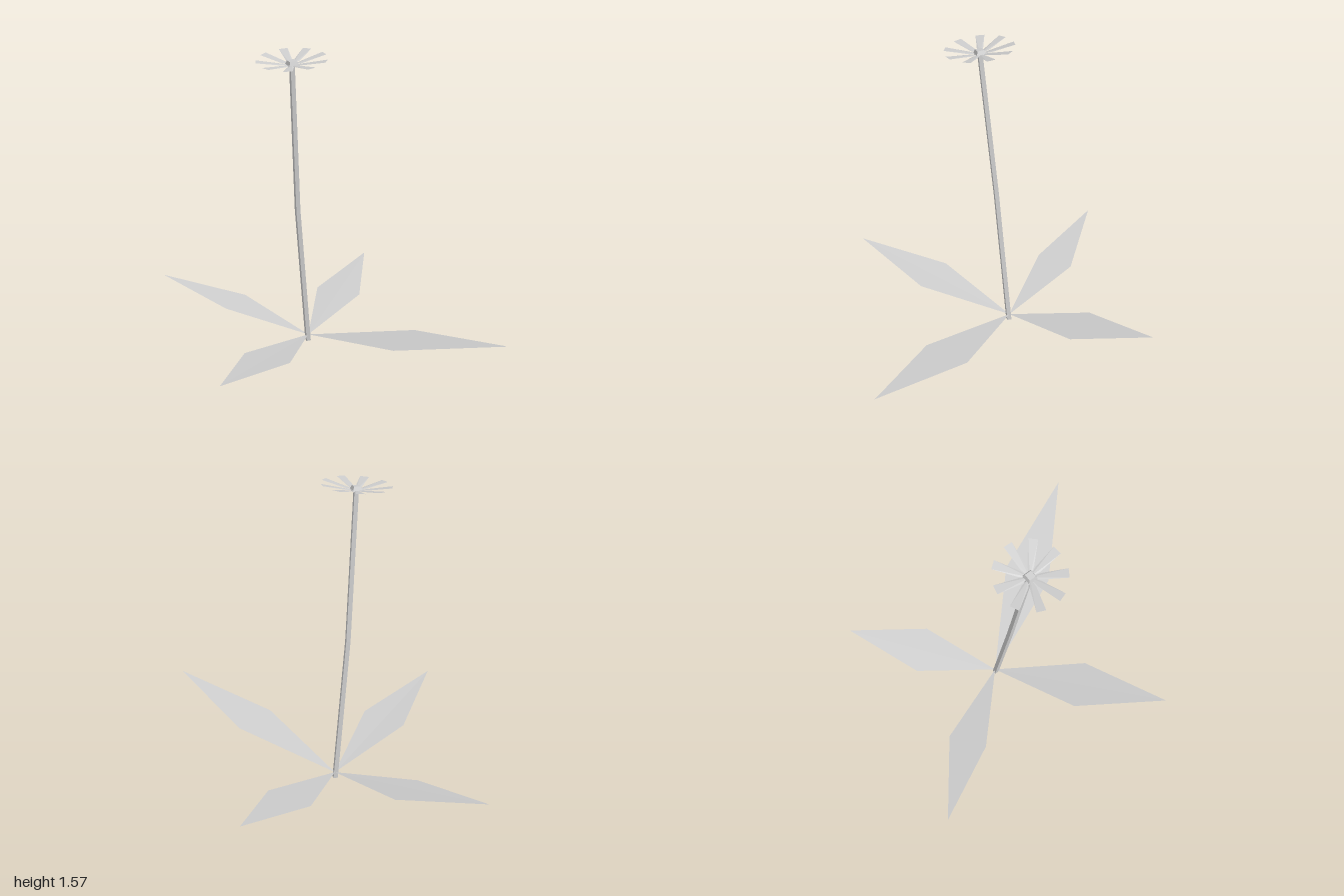
import * as THREE from 'three';

// Flat blade from a loop of points listed counter-clockwise as seen from above
function blade(name, points, material) {
  const geometry = new THREE.BufferGeometry();
  geometry.setAttribute('position', new THREE.Float32BufferAttribute(points.flat(), 3));
  const index = [];
  for (let i = 1; i < points.length - 1; i++) index.push(0, i, i + 1);
  geometry.setIndex(index);
  geometry.computeVertexNormals();
  const mesh = new THREE.Mesh(geometry, material);
  mesh.name = name;
  return mesh;
}

export function createModel() {
  const group = new THREE.Group();
  group.name = 'flowerPlant';
  const grey = new THREE.MeshStandardMaterial({ color: 0xcccccc, side: THREE.DoubleSide, flatShading: true });
  grey.name = 'plain grey';

  // Stem: square section with a slight bend halfway up
  const centres = [[-0.107, -0.065], [-0.124, 0.022], [-0.112, 0.105]];
  const height = 1.52;
  const stemGeometry = new THREE.CylinderGeometry(0.015, 0.016, height, 4, 2);
  stemGeometry.translate(0, height / 2, 0);
  const p = stemGeometry.attributes.position;
  for (let i = 0; i < p.count; i++) {
    const [cx, cz] = centres[Math.round((p.getY(i) / height) * 2)];
    p.setXYZ(i, p.getX(i) + cx, p.getY(i), p.getZ(i) + cz);
  }
  stemGeometry.computeVertexNormals();
  const stem = new THREE.Mesh(stemGeometry, grey);
  stem.name = 'stem';
  group.add(stem);

  // Four kite-shaped leaves: base, side, tip, side
  const base = [-0.107, 0.03, -0.068];
  const leaves = {
    leftLeaf: [[0.43, 0.133, 0.13], [0.99, 0.24, 0.08], [0.46, 0.138, -0.118]],
    backLeaf: [[0.027, 0.108, -0.48], [-0.09, 0.185, -0.88], [-0.222, 0.108, -0.48]],
    rightLeaf: [[-0.547, 0.115, -0.227], [-1.0, 0.2, -0.133], [-0.565, 0.118, -0.024]],
    frontLeaf: [[-0.253, 0.118, 0.40], [-0.15, 0.2, 0.875], [-0.003, 0.12, 0.415]],
  };
  for (const [name, rim] of Object.entries(leaves)) group.add(blade(name, [base, ...rim], grey));

  // Flower head, tilted to follow the stem
  const head = new THREE.Group();
  head.name = 'flowerHead';
  head.position.set(-0.112, 1.52, 0.105);
  head.rotation.x = 0.108;
  for (let i = 0; i < 9; i++) {
    const petal = blade('petal', [
      [0, 0, 0], [0.05, 0.006, 0.015], [0.17, 0.028, 0.022],
      [0.17, 0.028, -0.022], [0.05, 0.006, -0.015],
    ], grey);
    petal.rotation.y = THREE.MathUtils.degToRad(87 + i * 40);
    head.add(petal);
  }

  // Low four-sided centre
  const centre = new THREE.Mesh(new THREE.CylinderGeometry(0.024, 0.036, 0.022, 4), grey);
  centre.name = 'flowerCentre';
  centre.position.y = 0.011;
  centre.rotation.y = 0.08;
  head.add(centre);
  group.add(head);
  return group;
}
